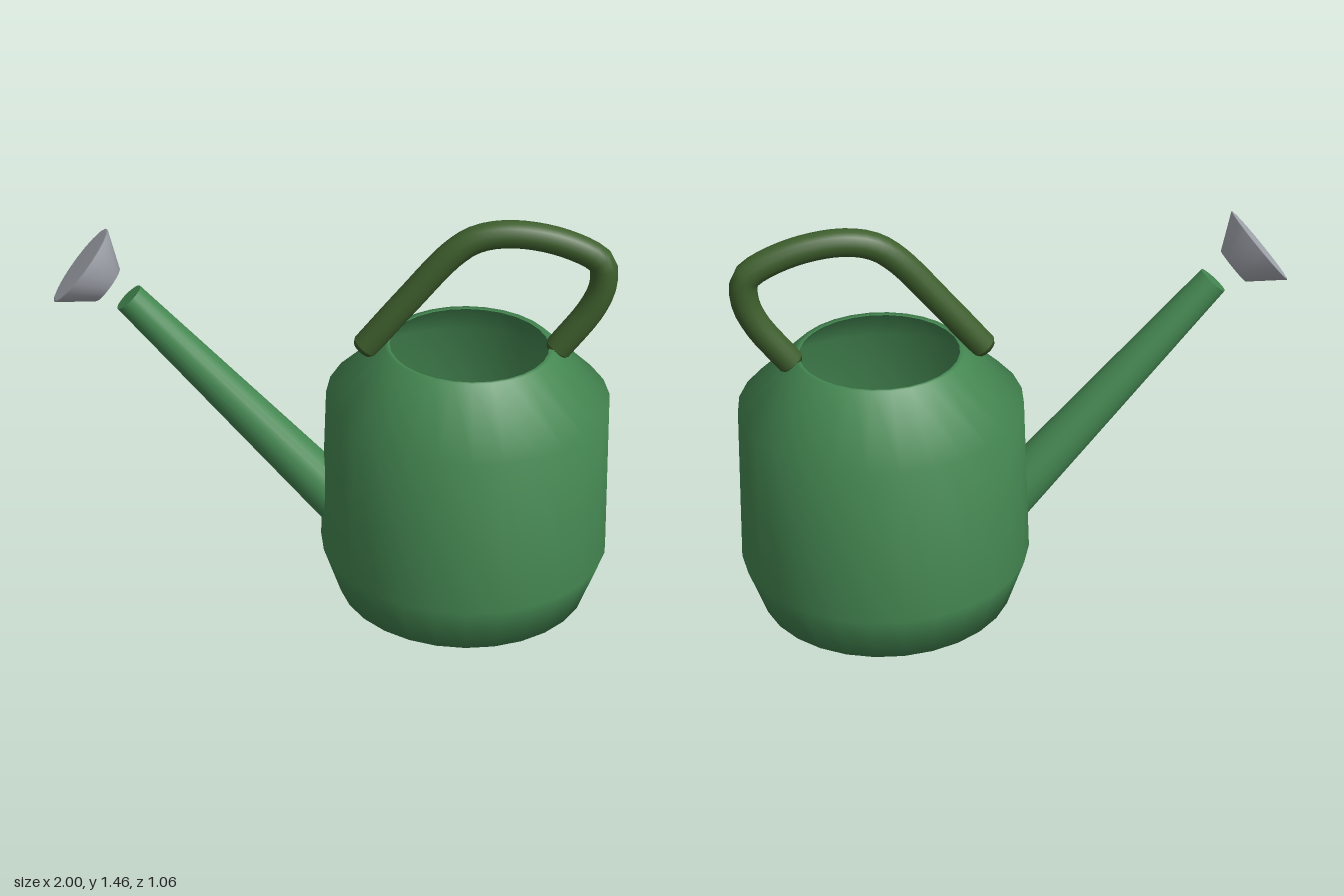
import * as THREE from 'three';

const green = new THREE.MeshStandardMaterial({ name: 'canGreen', color: 0x458852, side: THREE.DoubleSide });
const olive = new THREE.MeshStandardMaterial({ name: 'handleOlive', color: 0x3e5f2d });
const grey = new THREE.MeshStandardMaterial({ name: 'roseGrey', color: 0xa6aab2, side: THREE.DoubleSide });

const v2 = (points) => points.map(([x, y]) => new THREE.Vector2(x, y));

// Adds a named mesh to a group
function add(group, name, geometry, material) {
  const mesh = new THREE.Mesh(geometry, material);
  mesh.name = name;
  group.add(mesh);
  return mesh;
}

// Smooth turned part whose axis runs from one point along a direction
function turned(group, name, profile, sides, material, from, direction) {
  const mesh = add(group, name, new THREE.LatheGeometry(v2(profile), sides), material);
  mesh.position.copy(from);
  mesh.quaternion.setFromUnitVectors(new THREE.Vector3(0, 1, 0), direction.clone().normalize());
  return mesh;
}

export function createModel() {
  const can = new THREE.Group();
  can.name = 'wateringCan';

  // Hollow body, open at the top with a thin lip
  turned(can, 'body', [
    [0, 0], [0.465, 0], [0.53, 0.19], [0.51, 0.79], [0.302, 0.988], [0.284, 0.985],
  ], 28, green, new THREE.Vector3(0.465, 0, 0), new THREE.Vector3(0, 1, 0));

  // Tapered spout, starting just inside the body wall
  const spoutBase = new THREE.Vector3(0, 0.34, 0);
  const spoutAxis = new THREE.Vector3(-0.74, 1.16, 0).sub(spoutBase);
  const length = spoutAxis.length();
  turned(can, 'spout', [
    [0, 0], [0.094, 0], [0.094, 0], [0.057, length], [0.057, length], [0, length],
  ], 20, green, spoutBase, spoutAxis);

  // Sprinkler rose, floating just off the spout tip
  turned(can, 'rose', [
    [0, 0], [0.071, 0], [0.158, 0.118], [0.15, 0.12], [0, 0.12],
  ], 20, grey, new THREE.Vector3(-0.812, 1.208, 0), new THREE.Vector3(-0.775, 0.632, 0));

  // Bent tube handle over the opening
  const path = [
    [0.095, 0.975], [0.24, 1.155], [0.4, 1.342], [0.48, 1.396], [0.59, 1.416],
    [0.75, 1.394], [0.89, 1.334], [0.922, 1.3], [0.925, 1.22], [0.89, 1.13], [0.78, 0.975],
  ].map(([x, y]) => new THREE.Vector3(x, y, 0));
  const handle = new THREE.Group();
  handle.name = 'handle';
  can.add(handle);
  const curve = new THREE.CatmullRomCurve3(path, false, 'centripetal');
  add(handle, 'handleTube', new THREE.TubeGeometry(curve, 40, 0.049, 16), olive);

  // Softly rounded handle ends
  for (const t of [0, 1]) {
    const out = curve.getTangent(t).multiplyScalar(t ? 1 : -1);
    const cap = turned(handle, 'handleEnd', [[0.049, 0], [0.038, 0.017], [0, 0.02]],
      16, olive, curve.getPoint(t), out);
    cap.name = t ? 'leftHandleEnd' : 'rightHandleEnd';
  }

  return can;
}
